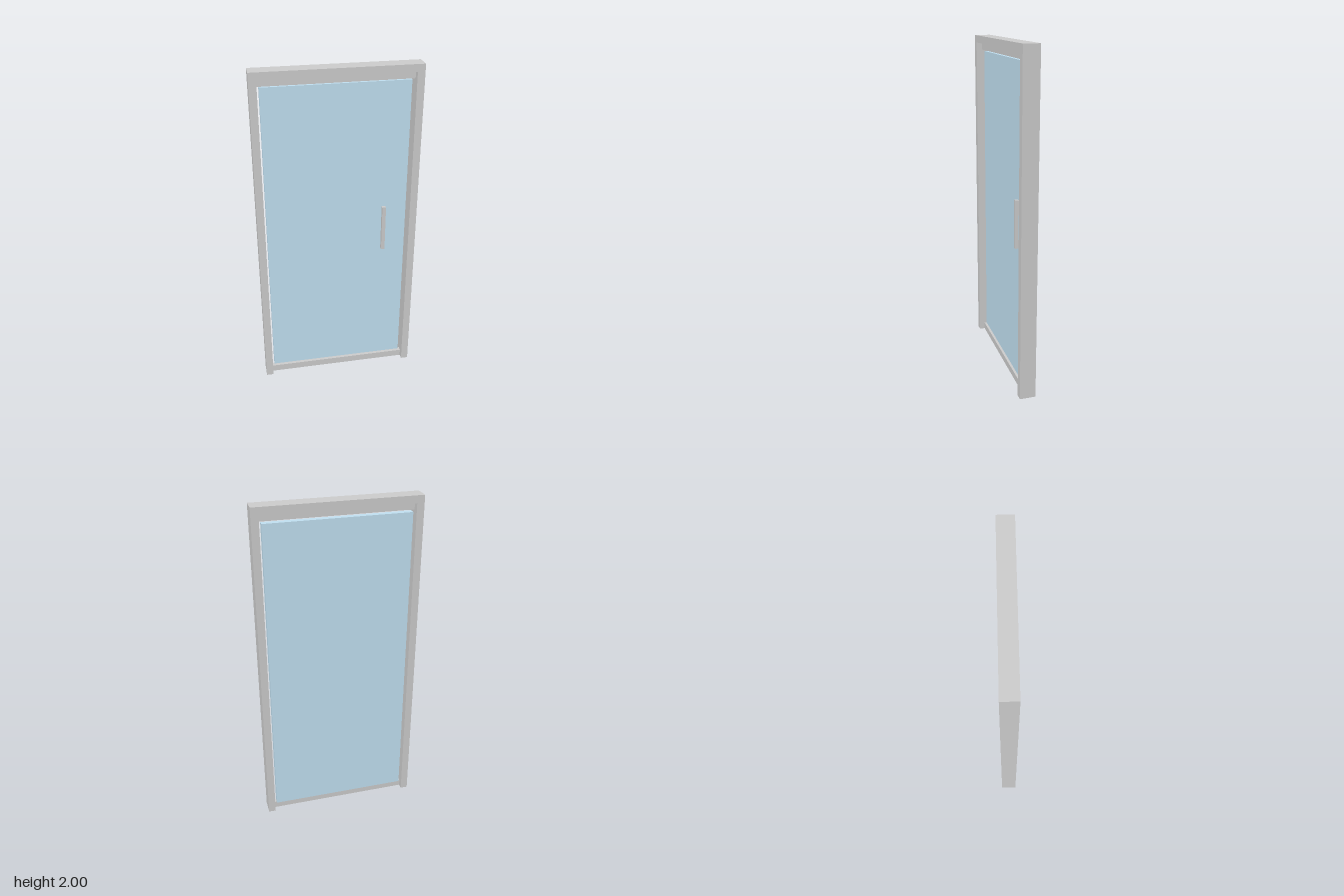
import * as THREE from 'three';

const W = 0.476;      // half width of the frame
const D = 0.095;      // frame depth
const T = 0.043;      // frame member thickness
const grey = new THREE.MeshStandardMaterial({ color: 0xcccccc });
const blue = new THREE.MeshStandardMaterial({ color: 0xc0dff0 });

// Box given by its lower and upper limits on each axis
function box(name, [x0, x1], [y0, y1], [z0, z1], material = grey) {
  const mesh = new THREE.Mesh(new THREE.BoxGeometry(x1 - x0, y1 - y0, z1 - z0), material);
  mesh.position.set((x0 + x1) / 2, (y0 + y1) / 2, (z0 + z1) / 2);
  mesh.name = name;
  return mesh;
}

export function createModel() {
  const door = new THREE.Group();
  door.name = 'glassDoor';

  // Jambs and header as one U-shaped extrusion, open at the floor
  const i = W - T;
  const outline = new THREE.Shape([
    [-W, 0], [-i, 0], [-i, 2 - T], [i, 2 - T], [i, 0], [W, 0], [W, 2], [-W, 2],
  ].map(([x, y]) => new THREE.Vector2(x, y)));
  const frameGeometry = new THREE.ExtrudeGeometry(outline, { depth: D, bevelEnabled: false });
  frameGeometry.translate(0, 0, -D / 2);
  const frame = new THREE.Mesh(frameGeometry, grey);
  frame.name = 'frame';
  door.add(frame);

  // Narrow rails under the header and at the floor
  const railZ = [-0.014, 0.014];
  door.add(box('topRail', [-i, i], [2 - 2 * T, 2 - T], railZ));
  door.add(box('threshold', [-i, i], [0, T], railZ));

  // Glass leaf with a small gap all round, and its pull handle
  door.add(box('glassPanel', [-0.419, 0.419], [0.05, 1.906], [-0.033, 0.003], blue));
  door.add(box('handle', [0.271, 0.293], [0.86, 1.145], [0.003, 0.024]));

  return door;
}
